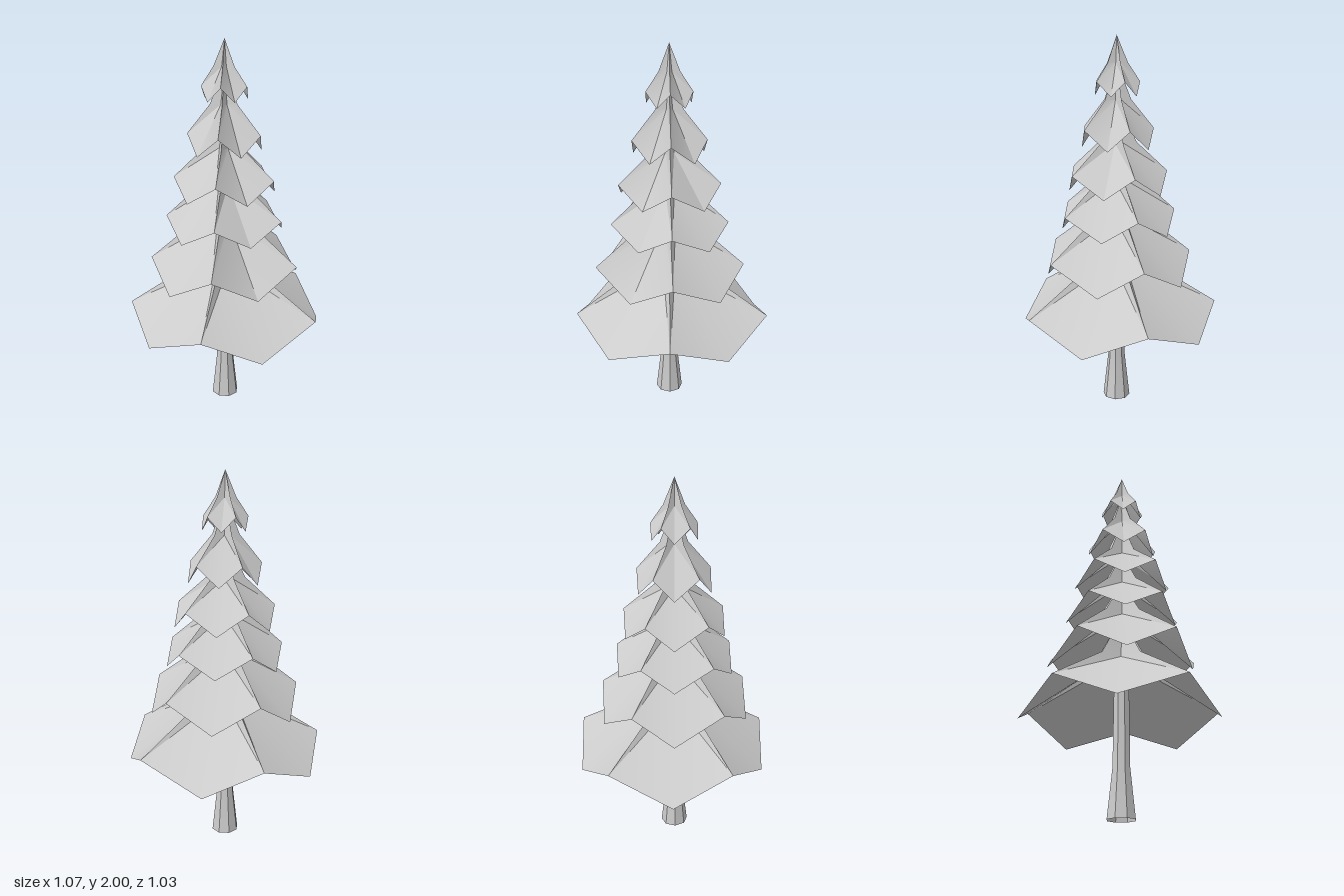
import * as THREE from 'three';
import { toCreasedNormals } from 'three/addons/utils/BufferGeometryUtils.js';

const AXIS_X = -0.015;
const VALLEY = 0.36; // neck radius in the folds, relative to the ridges
const material = new THREE.MeshStandardMaterial({ color: 0xcccccc, side: THREE.DoubleSide });

// Rim corners [x, z] about the trunk axis; even corners droop, odd corners are raised
const WIDE_RIM = [
  [-0.131, -0.516], [0.219, -0.516], [0.445, -0.28], [0.55, 0.03], [0.388, 0.339],
  [0.133, 0.511], [-0.205, 0.465], [-0.447, 0.264], [-0.522, -0.046], [-0.398, -0.367],
];
const RIM = [
  [-0.12, -0.385], [0.138, -0.39], [0.32, -0.245], [0.425, 0.008], [0.305, 0.22],
  [0.132, 0.398], [-0.123, 0.38], [-0.325, 0.23], [-0.395, -0.03], [-0.318, -0.24],
];

// Branch tiers: rim scale, drooping and raised rim heights, neck ring, tip
const TIERS = [
  { rim: WIDE_RIM, scale: 1, low: 0.457, high: 0.59, neckR: 0.16, neckY: 0.82, tip: 1.08 },
  { rim: RIM, scale: 1, low: 0.735, high: 0.867, neckR: 0.145, neckY: 1.07, tip: 1.29 },
  { rim: RIM, scale: 0.78, low: 0.995, high: 1.1, neckR: 0.12, neckY: 1.27, tip: 1.48 },
  { rim: RIM, scale: 0.67, low: 1.205, high: 1.31, neckR: 0.105, neckY: 1.46, tip: 1.69 },
  { rim: RIM, scale: 0.485, low: 1.435, high: 1.535, neckR: 0.075, neckY: 1.68, tip: 1.87 },
  { rim: RIM, scale: 0.3, low: 1.7, high: 1.772, neckR: 0.057, neckY: 1.865, tip: 2.0 },
];

// Open folded skirt: pointed tip, star-shaped neck ring, zigzag rim
function tierGeometry({ rim, scale, low, high, neckR, neckY, tip }) {
  const n = rim.length;
  const positions = [0, tip, 0];
  const index = [];
  rim.forEach(([x, z], i) => {
    const k = neckR * (i % 2 ? 1 : VALLEY) / Math.hypot(x, z);
    positions.push(x * k, neckY, z * k);
  });
  rim.forEach(([x, z], i) => positions.push(x * scale, i % 2 ? high : low, z * scale));
  for (let i = 0; i < n; i++) {
    const j = (i + 1) % n;
    const a = 1 + i, b = 1 + j, c = 1 + n + i, d = 1 + n + j;
    index.push(0, b, a);
    // Split each panel from its raised corner to the fold
    if (i % 2) index.push(a, b, c, b, d, c);
    else index.push(a, b, d, a, d, c);
  }
  const geometry = new THREE.BufferGeometry();
  geometry.setAttribute('position', new THREE.Float32BufferAttribute(positions, 3));
  geometry.setIndex(index);
  return toCreasedNormals(geometry, 0.45);
}

export function createModel() {
  const tree = new THREE.Group();
  tree.name = 'pineTree';

  // Eight-sided trunk, flared at the foot and open below
  const profile = [[0.075, 0], [0.047, 0.25], [0.043, 0.6], [0.018, 1.85]];
  const trunk = new THREE.Mesh(
    toCreasedNormals(
      new THREE.LatheGeometry(profile.map(([r, y]) => new THREE.Vector2(r, y)), 8), 0.4),
    material);
  trunk.name = 'trunk';
  trunk.position.x = AXIS_X;
  tree.add(trunk);

  // Stacked branch tiers, widest first
  TIERS.forEach((tier, i) => {
    const mesh = new THREE.Mesh(tierGeometry(tier), material);
    mesh.name = `branchTier${i + 1}`;
    mesh.position.x = AXIS_X;
    tree.add(mesh);
  });
  return tree;
}
